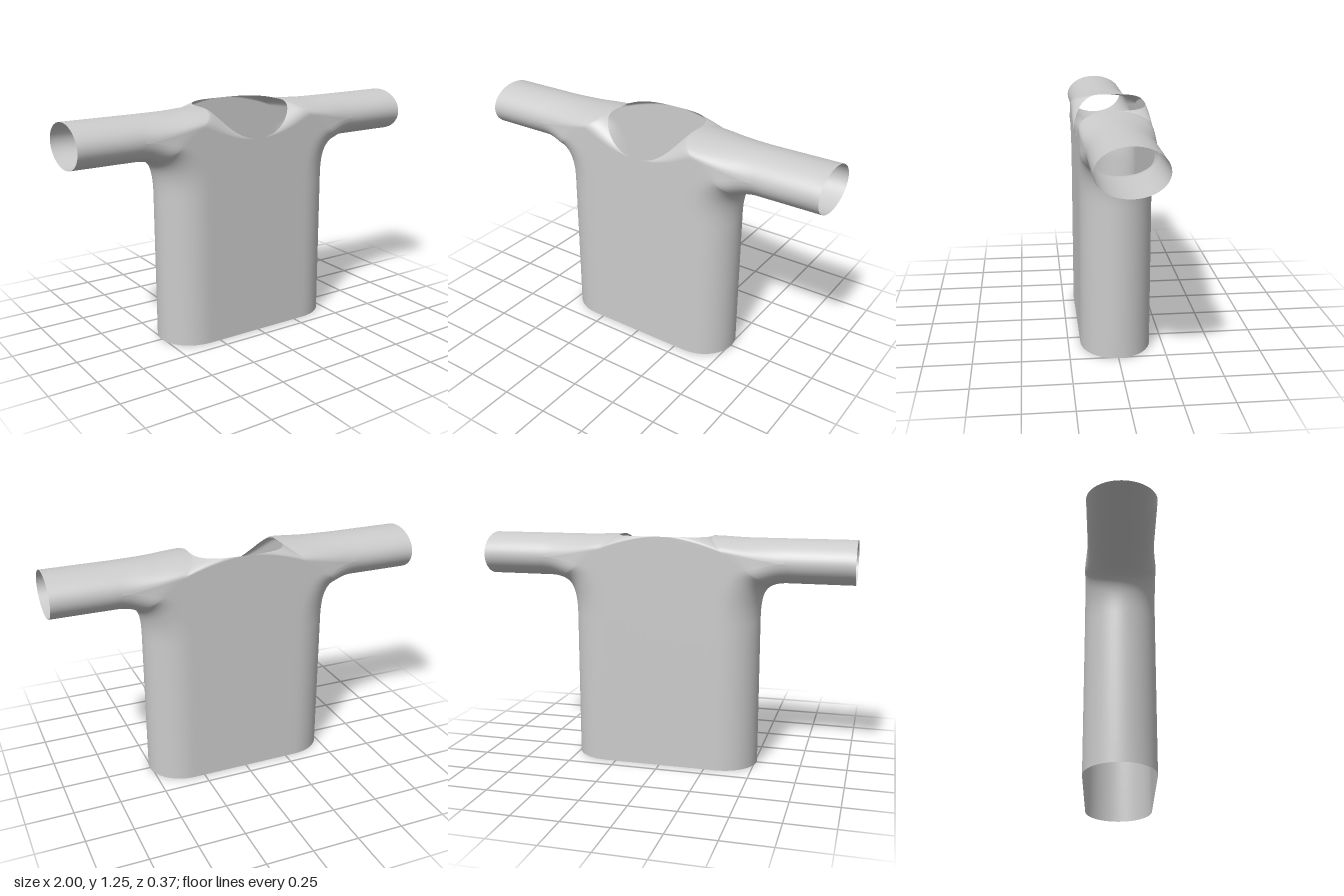
import * as THREE from 'three';
import { mergeVertices } from 'three/addons/utils/BufferGeometryUtils.js';

const { lerp, smoothstep } = THREE.MathUtils;
const DEPTH = 0.185, CUFF_DEPTH = 0.168, CUFF_RADIUS = 0.115;
const HEM_ROWS = 8, ARM_ROWS = 60, SLEEVE_ROWS = 8;
const ROUND = 12, FLAT = 10;

// Underarm curve between side seam and sleeve
const underarm = new THREE.CubicBezierCurve(
  new THREE.Vector2(0.51, 0.8), new THREE.Vector2(0.51, 0.96),
  new THREE.Vector2(0.54, 1.005), new THREE.Vector2(0.66, 1.005));

// Inner end of a section in the armhole zone: centre line, neckline, then shoulder
function innerEnd(t, front) {
  const neckY = front ? 1.08 : 1.245;
  if (t <= 0.25) return { x: 0, y: lerp(0.8, neckY, t / 0.25), z: DEPTH };
  if (t < 0.7) {
    const a = (t - 0.25) / 0.45 * Math.PI / 2;
    const k = Math.sin(a) ** (2 / 3);
    return {
      x: 0.25 * k,
      y: front ? lerp(neckY, 1.241, k ** 2.3) : lerp(neckY, 1.241, k ** 4),
      z: DEPTH * Math.max(Math.cos(a), 0) ** (2 / 3),
    };
  }
  const x = lerp(0.25, 0.66, (t - 0.7) / 0.3);
  return { x, y: lerp(1.241, 1.235, smoothstep(x, 0.25, 0.45)), z: 0 };
}

// Sections run from the hem, round the armpit, out to the cuff
function sections(front) {
  const list = [];
  for (let i = 0; i < HEM_ROWS; i++) {
    const y = 0.8 * i / HEM_ROWS;
    list.push({ p: { x: 0.51, y }, q: { x: 0, y, z: DEPTH }, depth: DEPTH, r: 0.2 });
  }
  for (let i = 0; i <= ARM_ROWS; i++) {
    const t = i / ARM_ROWS;
    list.push({
      p: underarm.getPoint(t), q: innerEnd(t, front),
      depth: lerp(DEPTH, CUFF_DEPTH, smoothstep(t, 0.7, 1)),
      r: lerp(0.2, CUFF_RADIUS, smoothstep(t, 0.1, 1)),
    });
  }
  for (let i = 1; i <= SLEEVE_ROWS; i++) {
    const x = lerp(0.66, 1, i / SLEEVE_ROWS);
    list.push({ p: { x, y: 1.005 }, q: { x, y: 1.235, z: 0 }, depth: CUFF_DEPTH, r: CUFF_RADIUS });
  }
  return list;
}

// Points across a section: rounded outer edge, flat panel, rounded shoulder edge
function sectionPoints({ p, q, depth, r }) {
  const width = Math.hypot(q.x - p.x, q.y - p.y);
  const end = Math.acos(Math.min(q.z / depth, 1));
  const inner = CUFF_RADIUS * Math.sin(end);
  const outer = Math.min(r, width - inner);
  const steps = [];
  for (let i = 0; i <= ROUND; i++) {
    const a = i / ROUND * Math.PI / 2;
    steps.push([outer * (1 - Math.cos(a)), depth * Math.sin(a)]);
  }
  for (let i = 1; i <= FLAT; i++) steps.push([lerp(outer, width - inner, i / FLAT), depth]);
  for (let i = 1; i <= ROUND; i++) {
    const b = end * i / ROUND;
    steps.push([width - inner + CUFF_RADIUS * Math.sin(b), depth * Math.cos(b)]);
  }
  return steps.map(([d, z]) => [lerp(p.x, q.x, d / width), lerp(p.y, q.y, d / width), z]);
}

export function createModel() {
  const positions = [], index = [];

  // Four mirrored quarters: left and right, front and back
  for (const sx of [1, -1]) for (const sz of [1, -1]) {
    const rows = sections(sz > 0).map(sectionPoints);
    const base = positions.length / 3, cols = rows[0].length;
    for (const row of rows) for (const [x, y, z] of row) positions.push(x * sx, y, z * sz);
    for (let i = 0; i < rows.length - 1; i++) for (let j = 0; j < cols - 1; j++) {
      const a = base + i * cols + j, b = a + cols, c = b + 1, d = a + 1;
      if (sx * sz > 0) index.push(a, b, d, b, c, d);
      else index.push(a, d, b, b, d, c);
    }
  }

  // Weld the quarters so the cloth shades smoothly across its seams
  let geometry = new THREE.BufferGeometry();
  geometry.setAttribute('position', new THREE.Float32BufferAttribute(positions, 3));
  geometry.setIndex(index);
  geometry = mergeVertices(geometry, 1e-4);
  geometry.computeVertexNormals();

  const shirt = new THREE.Mesh(geometry,
    new THREE.MeshStandardMaterial({ color: 0xcccccc, side: THREE.DoubleSide }));
  shirt.name = 'shirtBodyAndSleeves';
  const group = new THREE.Group();
  group.name = 'shirt';
  group.add(shirt);
  return group;
}
